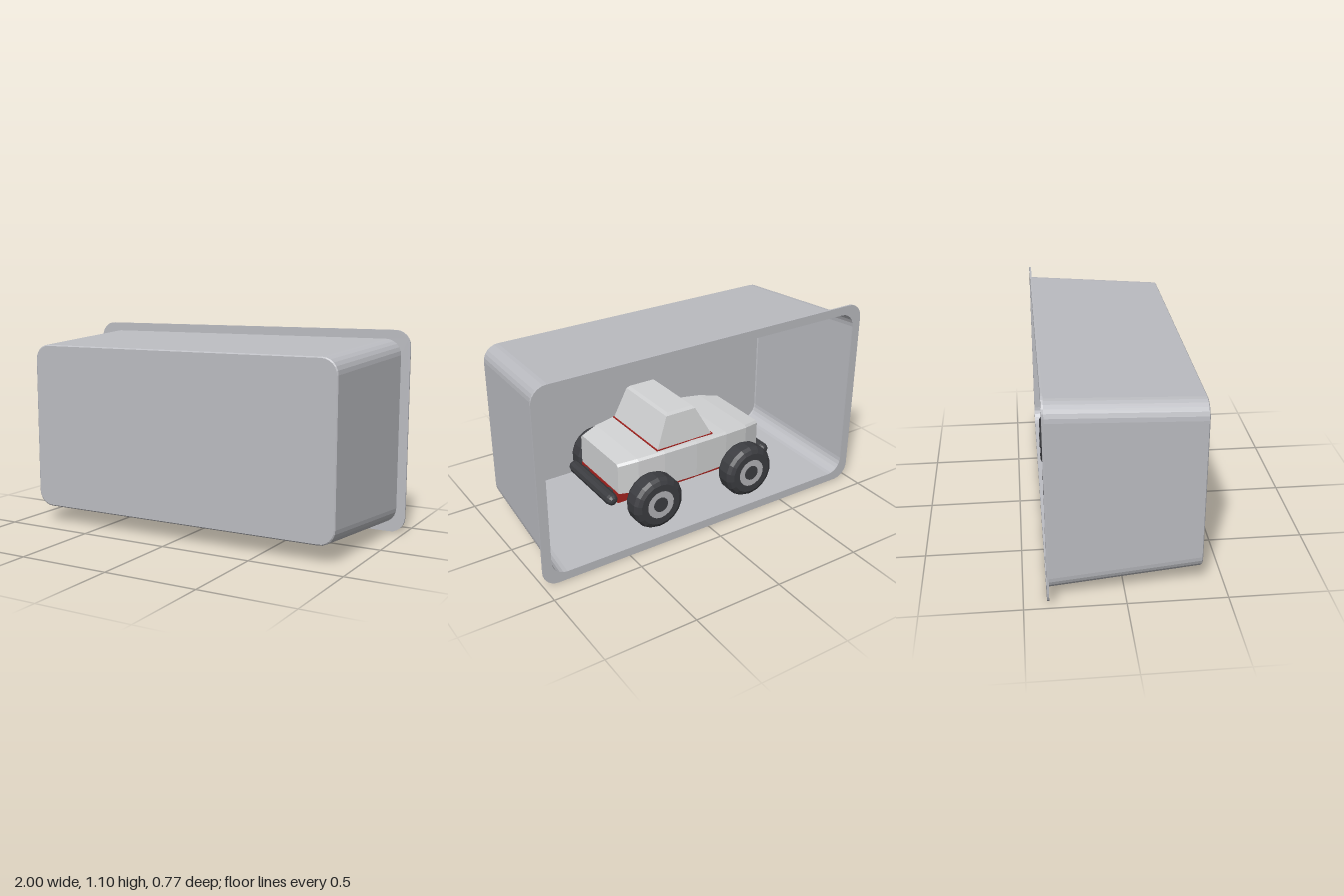
import * as THREE from 'three';

const mat = (name, color, opts = {}) =>
  Object.assign(new THREE.MeshStandardMaterial({ color, ...opts }), { name });

// Skin a list of closed rings (counterclockwise about the direction of travel)
function loft(rings, capStart, capEnd) {
  const pos = [];
  const tri = (a, b, c) => pos.push(...a, ...b, ...c);
  const n = rings[0].length;
  const middle = (r) => [0, 1, 2].map((k) => r.reduce((s, p) => s + p[k], 0) / n);
  for (let j = 0; j < rings.length - 1; j++) {
    for (let i = 0; i < n; i++) {
      const a = rings[j], b = rings[j + 1], k = (i + 1) % n;
      tri(a[i], a[k], b[k]);
      tri(a[i], b[k], b[i]);
    }
  }
  const first = rings[0], last = rings[rings.length - 1];
  for (let i = 0; i < n; i++) {
    const k = (i + 1) % n;
    if (capStart) tri(middle(first), first[k], first[i]);
    if (capEnd) tri(middle(last), last[i], last[k]);
  }
  const g = new THREE.BufferGeometry();
  g.setAttribute('position', new THREE.Float32BufferAttribute(pos, 3));
  g.computeVertexNormals();
  return g;
}

// Rounded rectangle outline around (0, cy), counterclockwise
function roundedRect(hw, hh, r, cy = 0.55, steps = 6) {
  const pts = [];
  [[1, 1], [-1, 1], [-1, -1], [1, -1]].forEach(([sx, sy], q) => {
    for (let i = 0; i <= steps; i++) {
      const a = (q + i / steps) * Math.PI / 2;
      pts.push(new THREE.Vector2(sx * (hw - r) + r * Math.cos(a), cy + sy * (hh - r) + r * Math.sin(a)));
    }
  });
  return pts;
}

export function createModel() {
  const model = new THREE.Group();
  model.name = 'carInTray';
  const trayMat = mat('trayGrey', 0xbbbcc1, { side: THREE.DoubleSide, flatShading: true });
  const bodyMat = mat('bodyLightGrey', 0xd2d3d4, { flatShading: true });
  const rubberMat = mat('rubberDark', 0x3c3d41, { flatShading: true });
  const hubMat = mat('hubGrey', 0xb4b5b8, { flatShading: true });
  const redMat = mat('chassisRed', 0xa62420, { flatShading: true });

  const add = (parent, name, geometry, material, x = 0, y = 0, z = 0) => {
    const m = new THREE.Mesh(geometry, material);
    m.name = name;
    m.position.set(x, y, z);
    parent.add(m);
    return m;
  };

  // Tapered tray, open at the back
  const trayRing = ([z, hw, hh, r]) => roundedRect(hw, hh, r).map((p) => [p.x, p.y, z]);
  add(model, 'tray', loft([
    [-0.38, 0.95, 0.502, 0.085],
    [0.38, 0.906, 0.457, 0.085],
    [0.385, 0.9, 0.451, 0.08],
  ].map(trayRing), false, true), trayMat);

  // Flat rim around the opening
  const rim = new THREE.Shape(roundedRect(1, 0.55, 0.085));
  rim.holes.push(new THREE.Path(roundedRect(0.95, 0.502, 0.085).reverse()));
  add(model, 'rim', new THREE.ExtrudeGeometry(rim, { depth: 0.01, bevelEnabled: false }), trayMat, 0, 0, -0.385);

  const car = new THREE.Group();
  car.name = 'car';
  model.add(car);

  // Body: sections along x, widest in the middle
  const bodyRing = ([x, w, top]) => [
    [x, 0.265, -w], [x, top - 0.012, -w], [x, top, -w + 0.012],
    [x, top, w - 0.012], [x, top - 0.012, w], [x, 0.265, w],
  ];
  add(car, 'body', loft([
    [-0.456, 0.2, 0.44], [-0.35, 0.237, 0.456], [-0.2, 0.258, 0.468], [0, 0.265, 0.473],
    [0.2, 0.258, 0.47], [0.35, 0.235, 0.458], [0.456, 0.2, 0.44],
  ].map(bodyRing), true, true), bodyMat);

  // Cabin: sections going up, with a small bevel at the roof
  const cabinRing = ([y, x0, x1, w]) => [[x0, y, -w], [x0, y, w], [x1, y, w], [x1, y, -w]];
  add(car, 'cabin', loft([
    [0.465, -0.122, 0.231, 0.23], [0.645, -0.025, 0.157, 0.205], [0.66, -0.012, 0.144, 0.192],
  ].map(cabinRing), true, true), bodyMat);
  add(car, 'cabinSeam', new THREE.BoxGeometry(0.358, 0.006, 0.465), redMat, 0.054, 0.473, 0);

  // Chassis below the body
  add(car, 'chassis', new THREE.BoxGeometry(0.92, 0.06, 0.4), redMat, 0, 0.24, 0);

  // Wheels, axles and bumpers
  const tyreGeo = new THREE.LatheGeometry([
    [0.08, -0.065], [0.118, -0.065], [0.138, -0.054], [0.15, -0.034],
    [0.15, 0.034], [0.138, 0.054], [0.118, 0.065], [0.08, 0.065],
  ].map(([r, y]) => new THREE.Vector2(r, y)), 18).rotateX(Math.PI / 2);
  const disc = (r, depth) => new THREE.CylinderGeometry(r, r, depth, 18).rotateX(Math.PI / 2);
  const hubGeo = disc(0.084, 0.124);
  const capGeo = disc(0.042, 0.134);
  for (const sx of [-1, 1]) {
    for (const sz of [-1, 1]) {
      const wheel = new THREE.Group();
      wheel.name = 'wheel';
      wheel.position.set(sx * 0.297, 0.235, sz * 0.305);
      car.add(wheel);
      add(wheel, 'tyre', tyreGeo, rubberMat);
      add(wheel, 'hub', hubGeo, hubMat);
      add(wheel, 'hubCap', capGeo, rubberMat);
      add(car, 'bumperBracket', new THREE.BoxGeometry(0.06, 0.03, 0.04), rubberMat, sx * 0.475, 0.25, sz * 0.13);
    }
    add(car, 'axle', disc(0.03, 0.6), rubberMat, sx * 0.297, 0.235, 0);
    add(car, 'bumper', new THREE.CapsuleGeometry(0.034, 0.4, 3, 10).rotateX(Math.PI / 2), rubberMat, sx * 0.5, 0.25, 0);
  }
  return model;
}
